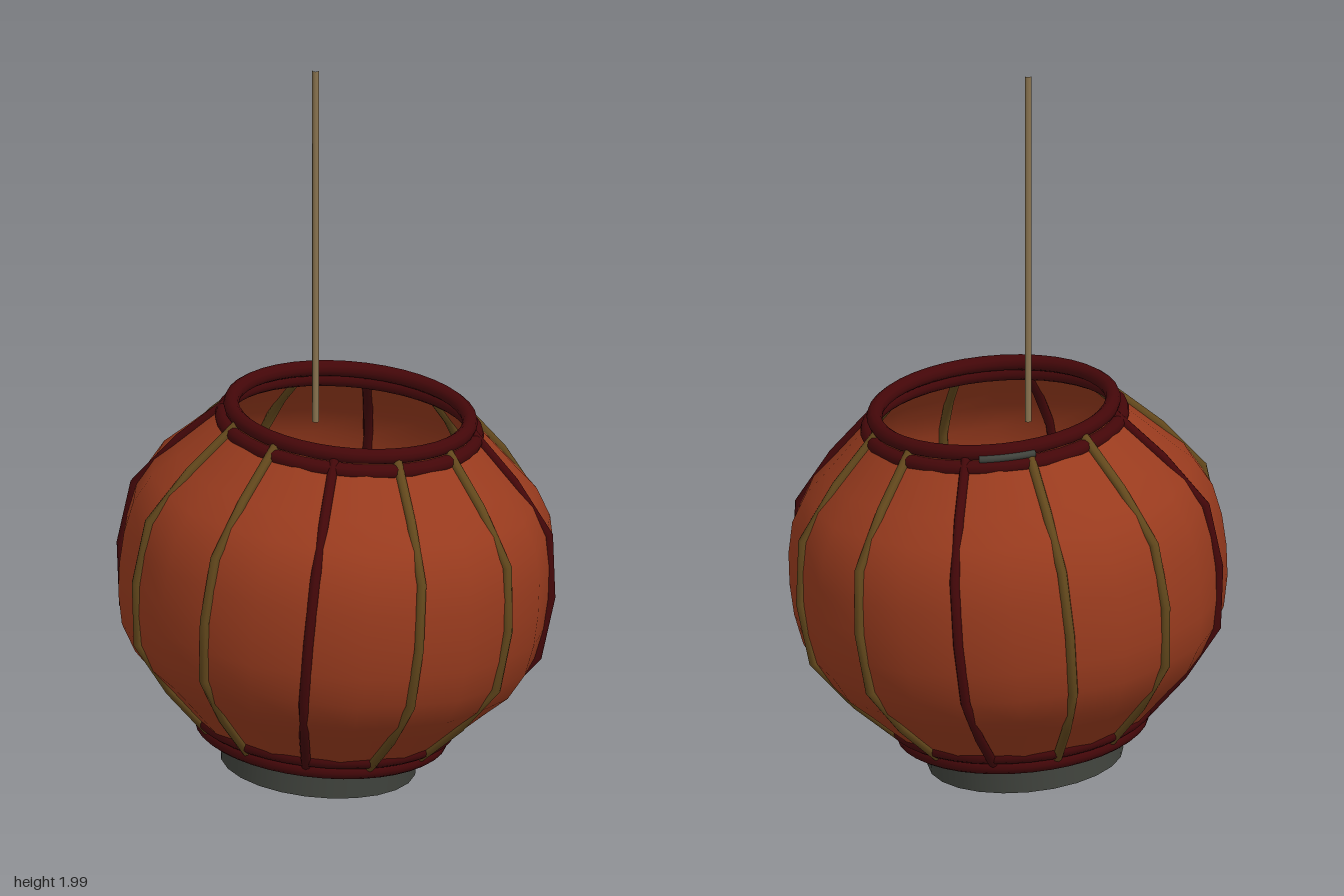
import * as THREE from 'three';

const mat = (name, color, side = THREE.FrontSide) => {
  const m = new THREE.MeshStandardMaterial({ color, side });
  m.name = name;
  return m;
};

export function createModel() {
  const paper = mat('orange paper', 0x993b1e, THREE.DoubleSide);
  const red = mat('dark red', 0x440709);
  const bamboo = mat('bamboo', 0x63481c);
  const iron = mat('grey iron', 0x40433d);
  const cord = mat('cord', 0x8a7450);

  const model = new THREE.Group();
  model.name = 'lantern';
  const add = (parent, name, geometry, material, y = 0) => {
    const mesh = new THREE.Mesh(geometry, material);
    mesh.name = name;
    mesh.position.y = y;
    parent.add(mesh);
    return mesh;
  };

  // The body hangs at a slight tilt around its own centre
  const body = new THREE.Group();
  body.name = 'body';
  body.position.y = 0.58;
  body.rotation.z = -0.087;
  model.add(body);

  // Shared side profile of shade and ribs: radius, height
  const profile = new THREE.CatmullRomCurve3(
    [[0.328, -0.44], [0.442, -0.325], [0.544, -0.21], [0.579, 0],
      [0.544, 0.21], [0.442, 0.325], [0.328, 0.44]]
      .map(([r, y]) => new THREE.Vector3(r, y, 0)));

  // Paper shade, open at both ends, bulging a little between the ribs
  const shade = new THREE.LatheGeometry(
    profile.getSpacedPoints(12).map(p => new THREE.Vector2(p.x - 0.004, p.y)), 24);
  const pos = shade.attributes.position;
  for (let i = 0; i < pos.count; i++) {
    const x = pos.getX(i), z = pos.getZ(i);
    const k = 1 + 0.018 * Math.sin(6 * Math.atan2(z, x)) ** 2;
    pos.setX(i, x * k);
    pos.setZ(i, z * k);
  }
  add(body, 'paperShade', shade, paper);

  // Twelve ribs, every third one red
  const ribShape = new THREE.TubeGeometry(profile, 6, 0.0135, 8);
  for (let i = 0; i < 12; i++) {
    const main = i % 3 === 0;
    add(body, main ? 'mainRib' : 'bambooRib', ribShape, main ? red : bamboo)
      .rotation.y = i * Math.PI / 6;
  }

  // Doubled rims at both openings
  for (const s of [1, -1]) {
    for (const [r, y] of [[0.32, 0.452], [0.34, 0.415]]) {
      add(body, s > 0 ? 'topRim' : 'bottomRim',
        new THREE.TorusGeometry(r, 0.021, 10, 40).rotateX(Math.PI / 2), red, s * y);
    }
  }

  // Short iron clip set in the groove of the top rim
  add(body, 'rimClip', new THREE.TorusGeometry(0.342, 0.01, 8, 8, 0.44)
    .rotateZ(-2.13).rotateX(Math.PI / 2), iron, 0.441);

  // Base plate with candle holder inside
  add(body, 'basePlate', new THREE.CylinderGeometry(0.262, 0.262, 0.067, 24), iron, -0.52);
  add(body, 'holderDisc', new THREE.CylinderGeometry(0.187, 0.187, 0.009, 24), bamboo, -0.482);
  add(body, 'candleCup', new THREE.CylinderGeometry(0.085, 0.085, 0.03, 20), iron, -0.465);

  // Upright hanging cord
  add(model, 'hangingCord', new THREE.CylinderGeometry(0.009, 0.009, 1, 8, 1, true), cord, 1.5)
    .position.x = -0.055;

  return model;
}
